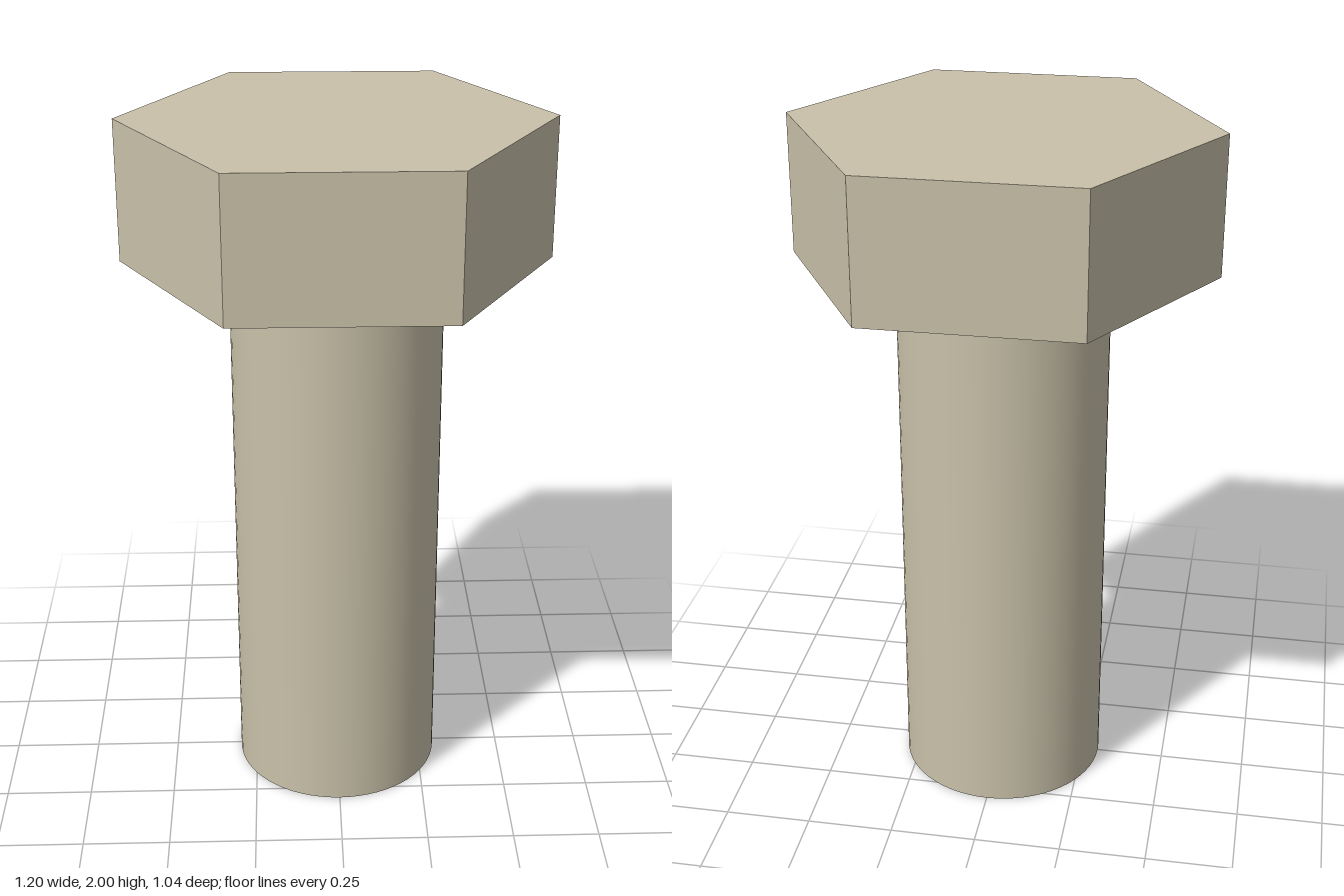
import * as THREE from 'three';

const HEAD_HEIGHT = 0.4;
const SHANK_LENGTH = 1.6;

export function createModel() {
  const bolt = new THREE.Group();
  bolt.name = 'hexBolt';
  const color = 0xc9c1a9;

  // Smooth round shank standing on the ground
  const shank = new THREE.Mesh(
    new THREE.CylinderGeometry(0.3, 0.3, SHANK_LENGTH, 64),
    new THREE.MeshStandardMaterial({ color })
  );
  shank.name = 'shank';
  shank.position.y = SHANK_LENGTH / 2;

  // Six-sided head with corners on the x axis and flats facing front and back
  const head = new THREE.Mesh(
    new THREE.CylinderGeometry(0.6, 0.6, HEAD_HEIGHT, 6, 1, false, Math.PI / 2),
    new THREE.MeshStandardMaterial({ color, flatShading: true })
  );
  head.name = 'hexHead';
  head.position.y = SHANK_LENGTH + HEAD_HEIGHT / 2;

  bolt.add(shank, head);
  return bolt;
}
